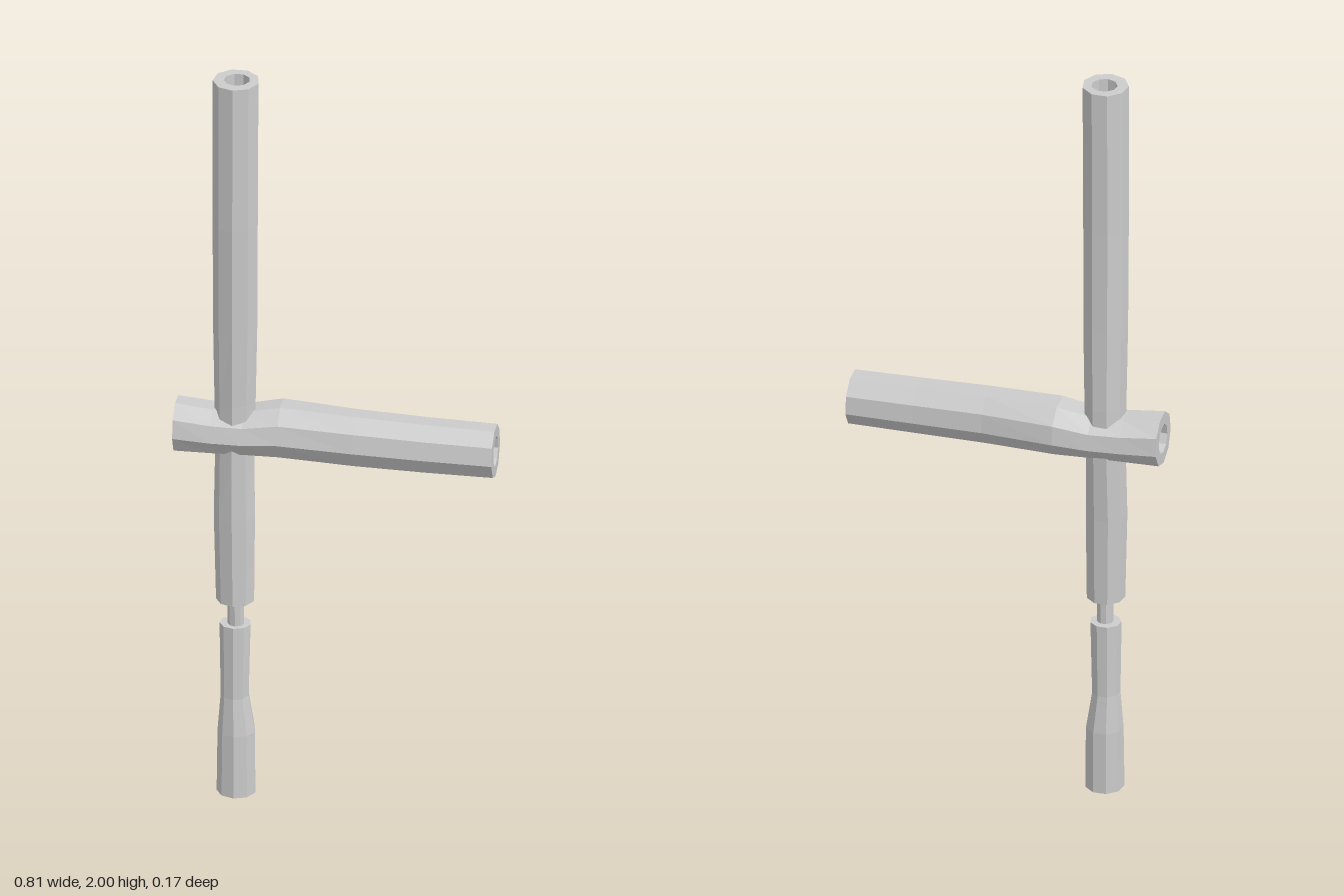
import * as THREE from 'three';

const SIDES = 9;
const material = new THREE.MeshStandardMaterial({ color: 0xcccccc, flatShading: true, side: THREE.DoubleSide });

// Skins a list of rings [t, centreU, centreV, radiusU, radiusV] along the x axis (u=y, v=z) or y axis (u=z, v=x).
function loft(name, axis, rings, phase = 0) {
  const point = ([t, cu, cv, ru, rv = ru], j) => {
    const a = phase + (j / SIDES) * Math.PI * 2;
    const u = cu + ru * Math.cos(a), v = cv + rv * Math.sin(a);
    return axis === 'x' ? [t, u, v] : [v, t, u];
  };
  const pos = [];
  for (let i = 0; i < rings.length - 1; i++) {
    for (let j = 0; j < SIDES; j++) {
      const a = point(rings[i], j), b = point(rings[i], j + 1);
      const c = point(rings[i + 1], j + 1), d = point(rings[i + 1], j);
      if (rings[i][3] > 0) pos.push(...a, ...b, ...c);
      if (rings[i + 1][3] > 0) pos.push(...a, ...c, ...d);
      else if (rings[i][3] > 0) continue;
      else pos.push(...a, ...c, ...d);
    }
  }
  const geometry = new THREE.BufferGeometry();
  geometry.setAttribute('position', new THREE.Float32BufferAttribute(pos, 3));
  geometry.computeVertexNormals();
  const mesh = new THREE.Mesh(geometry, material);
  mesh.name = name;
  return mesh;
}

export function createModel() {
  const group = new THREE.Group();
  group.name = 'crossedPipes';

  // Long upright, slightly bent, with an open bore at the top
  group.add(loft('upright', 'y', [
    [0.54, 0.01, -0.254, 0],
    [0.54, 0.01, -0.254, 0.049],
    [0.78, 0.008, -0.256, 0.053],
    [0.97, 0.002, -0.256, 0.058, 0.05],
    [1.1, 0.002, -0.255, 0.058, 0.053],
    [1.32, 0.007, -0.254, 0.057],
    [1.6, 0.013, -0.253, 0.058],
    [2, 0.014, -0.252, 0.059],
    [2, 0.012, -0.25, 0.033],
    [1.6, 0.01, -0.25, 0.031],
    [1.1, 0.004, -0.252, 0.029],
    [1.1, 0.004, -0.252, 0],
  ]));

  // Crossbar, pinched where it meets the upright, open at both ends
  const bar = [
    [-0.405, 1.016, 0.003, 0.071, 0.07],
    [-0.31, 1.012, 0.001, 0.064, 0.076],
    [-0.23, 1.012, -0.002, 0.062, 0.08],
    [-0.14, 1.02, -0.005, 0.073, 0.083],
    [0.05, 1.014, 0.008, 0.073, 0.073],
    [0.23, 1.01, 0.012, 0.071, 0.071],
    [0.405, 1.008, 0.014, 0.069, 0.07],
  ];
  const bore = (t, y, z, r = 0.039) => [t, y, z, r];
  group.add(loft('crossbar', 'x', [
    bore(-0.32, 1.014, 0.003, 0),
    bore(-0.32, 1.014, 0.003),
    bore(-0.405, 1.015, 0.003),
    ...bar,
    bore(0.405, 1.008, 0.014),
    bore(0.05, 1.014, 0.01, 0.037),
    bore(-0.18, 1.015, 0, 0.036),
    bore(-0.18, 1.015, 0, 0),
  ], 0.3));

  // Thin pin joining the upright to the lower sleeve
  group.add(loft('pin', 'y', [
    [0.44, 0.008, -0.253, 0.021],
    [0.57, 0.01, -0.253, 0.021],
  ]));

  // Lower sleeve, flared and open at the foot
  group.add(loft('lowerSleeve', 'y', [
    [0.07, 0.007, -0.252, 0],
    [0.07, 0.007, -0.252, 0.036],
    [0, 0.007, -0.252, 0.04],
    [0, 0.007, -0.252, 0.05],
    [0.17, 0.005, -0.252, 0.048],
    [0.27, 0.006, -0.256, 0.037, 0.036],
    [0.47, 0.006, -0.255, 0.037, 0.04],
    [0.47, 0.006, -0.255, 0],
  ]));

  return group;
}
